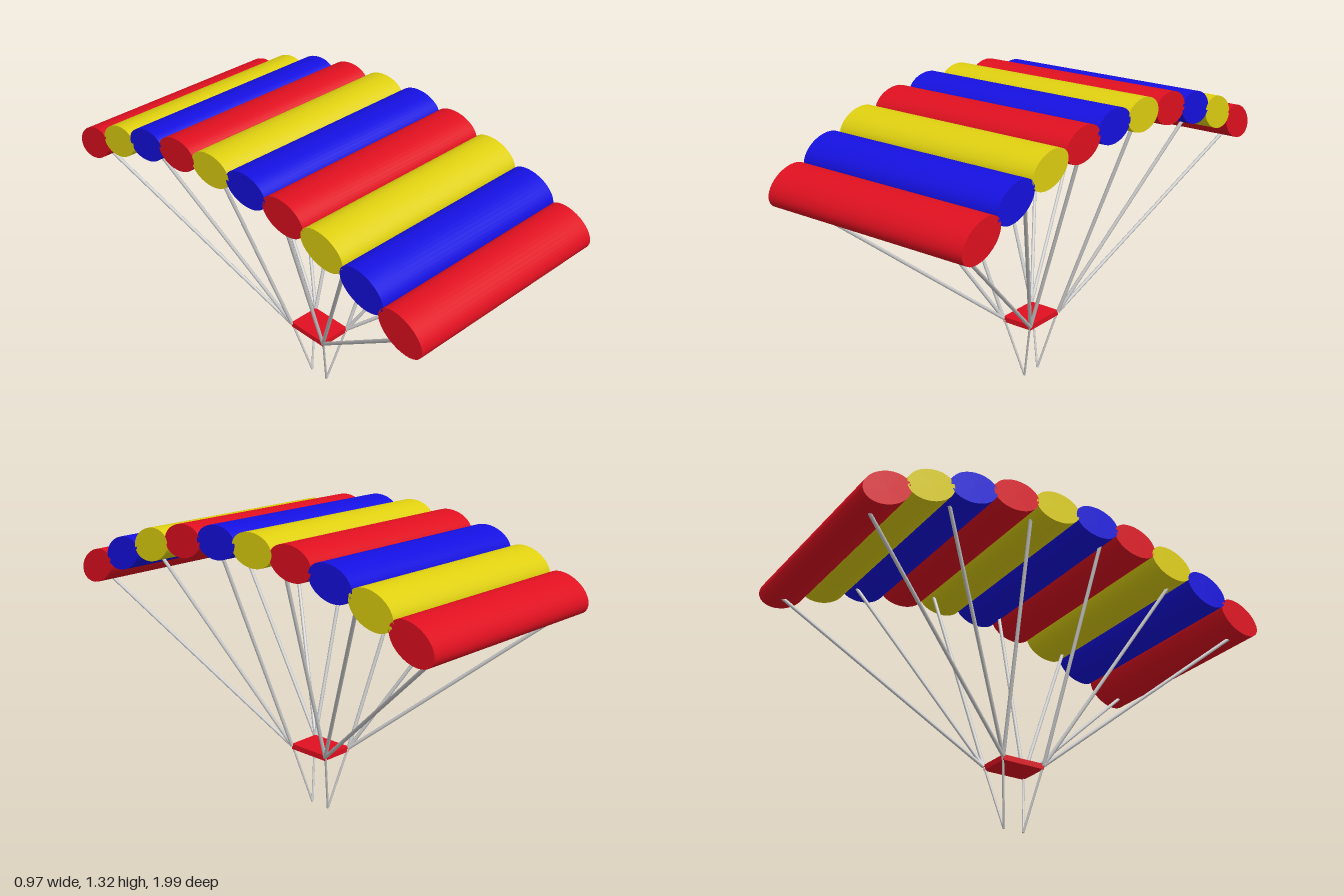
import * as THREE from 'three';

const RED = 0xe01020, BLUE = 0x1510e0, YELLOW = 0xdfd010;

export function createModel() {
  const model = new THREE.Group();
  const paint = (color) => new THREE.MeshStandardMaterial({ color });
  const red = paint(RED), blue = paint(BLUE), yellow = paint(YELLOW), grey = paint(0xcccccc);

  // Canopy: a row of elliptical cells along an arch, [z, y, tilt in degrees]
  const cells = [
    [0.898, 1.03, 25], [0.709, 1.115, 20], [0.51, 1.182, 15], [0.307, 1.227, 9], [0.104, 1.251, 3],
    [-0.1, 1.251, -2], [-0.307, 1.233, -8], [-0.508, 1.193, -14], [-0.703, 1.131, -21], [-0.89, 1.048, -28],
  ];
  const cellGeometry = new THREE.CylinderGeometry(1, 1, 0.966, 40);
  cellGeometry.rotateZ(Math.PI / 2);
  cellGeometry.scale(1, 0.07, 0.11);
  const canopy = new THREE.Group();
  canopy.name = 'canopy';
  cells.forEach(([z, y, tilt], i) => {
    const cell = new THREE.Mesh(cellGeometry, [red, blue, yellow][i % 3]);
    cell.name = `canopyCell${i + 1}`;
    cell.position.set(0, y, z);
    cell.rotation.x = THREE.MathUtils.degToRad(tilt);
    canopy.add(cell);
  });
  model.add(canopy);

  // Harness plate
  const plate = new THREE.Mesh(new THREE.BoxGeometry(0.15, 0.024, 0.2), red);
  plate.name = 'harnessPlate';
  plate.position.y = 0.276;
  model.add(plate);

  // Straight cord between two points
  const cord = (name, from, to, radius) => {
    const a = new THREE.Vector3(...from), b = new THREE.Vector3(...to);
    const dir = b.clone().sub(a);
    const mesh = new THREE.Mesh(new THREE.CylinderGeometry(radius, radius, dir.length(), 10), grey);
    mesh.name = name;
    mesh.position.copy(a).add(b).multiplyScalar(0.5);
    mesh.quaternion.setFromUnitVectors(new THREE.Vector3(0, 1, 0), dir.normalize());
    model.add(mesh);
  };

  // Suspension lines fan out from each plate corner; harness straps meet below
  const anchors = [
    [0.91, 0.967], [0.56, 1.125], [0.182, 1.215],
    [-0.182, 1.215], [-0.573, 1.13], [-0.925, 0.98],
  ];
  for (const side of [-1, 1]) {
    for (const [z, y] of anchors) {
      cord('suspensionLine', [side * 0.074, 0.28, Math.sign(z) * 0.1], [side * 0.4, y, z], 0.008);
    }
    for (const end of [-1, 1]) {
      cord('harnessStrap', [side * 0.07, 0.276, end * 0.099], [0, 0.002, end * 0.047], 0.005);
    }
  }
  return model;
}
